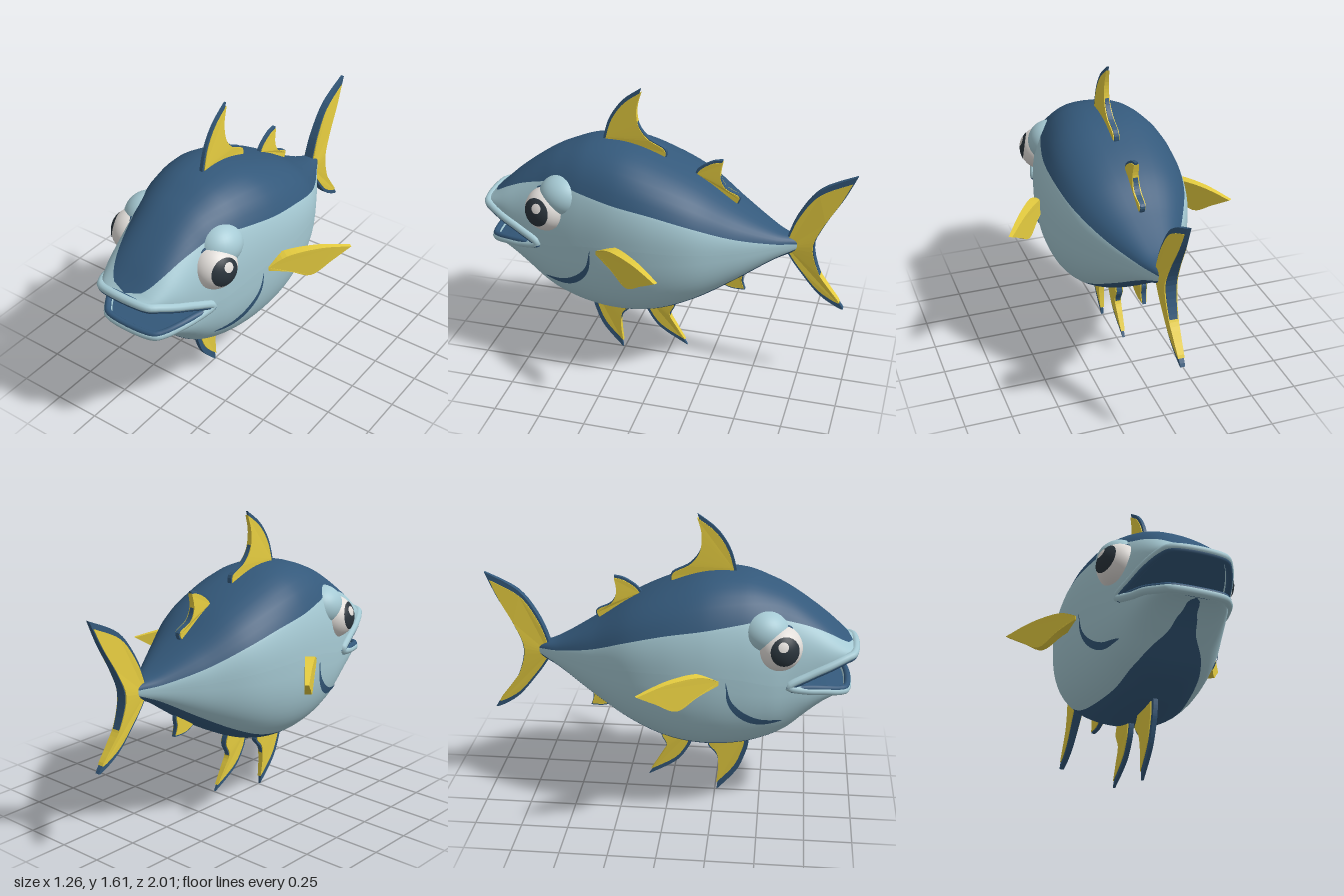
import * as THREE from 'three';

const mat = (name, color, side = THREE.FrontSide) => {
  const m = new THREE.MeshStandardMaterial({ color, side });
  m.name = name;
  return m;
};

// Body stations: z, top, bottom, half width, upper jaw edge, lower jaw edge, back colour line, belly colour line
const STATIONS = [
  [-0.76, 0.842, 0.828, 0.004, 0.835, 0.835, 0.838, 0.832],
  [-0.70, 0.87, 0.79, 0.04, 0.835, 0.835, 0.845, 0.81],
  [-0.6, 0.905, 0.74, 0.10, 0.833, 0.833, 0.86, 0.765],
  [-0.4, 1.02, 0.605, 0.225, 0.84, 0.84, 0.922, 0.645],
  [-0.2, 1.155, 0.48, 0.33, 0.86, 0.86, 1.005, 0.535],
  [0, 1.25, 0.39, 0.375, 0.87, 0.87, 1.065, 0.45],
  [0.2, 1.312, 0.355, 0.378, 0.87, 0.87, 1.10, 0.415],
  [0.4, 1.31, 0.37, 0.35, 0.84, 0.84, 1.13, 0.42],
  [0.55, 1.26, 0.42, 0.315, 0.80, 0.80, 1.145, 0.462],
  [0.64, 1.215, 0.47, 0.285, 0.79, 0.79, 1.12, 0.50],
  [0.75, 1.14, 0.565, 0.252, 0.845, 0.757, 1.082, 0.571],
  [0.85, 1.06, 0.645, 0.22, 0.885, 0.745, 1.032, 0.646],
  [0.93, 0.985, 0.69, 0.178, 0.915, 0.728, 0.978, 0.6902],
  [0.97, 0.95, 0.70, 0.14, 0.925, 0.722, 0.95, 0.70],
];
const N = 2.5; // roundness of the cross-section

// Smooth interpolation of the stations; the jaw edges stay straight
function bodyAt(z) {
  const S = STATIONS, last = S.length - 1;
  let i = 0;
  while (i < last - 1 && z > S[i + 1][0]) i++;
  const h = S[i + 1][0] - S[i][0], u = THREE.MathUtils.clamp((z - S[i][0]) / h, 0, 1);
  const slope = (k, c) => {
    const a = S[Math.max(0, k - 1)], b = S[Math.min(last, k + 1)];
    return (b[c] - a[c]) / (b[0] - a[0]);
  };
  const v = S[i].map((p, c) => {
    const q = S[i + 1][c];
    if (c === 0 || c === 4 || c === 5) return p + (q - p) * u;
    return p * (1 + 2 * u) * (1 - u) ** 2 + q * u * u * (3 - 2 * u)
      + h * (slope(i, c) * u * (1 - u) ** 2 + slope(i + 1, c) * u * u * (u - 1));
  });
  return { top: v[1], bottom: v[2], w: v[3], up: v[4], low: v[5], back: v[6], belly: v[7] };
}

const lowerZ = z => (z > 0.64 ? 0.64 + (z - 0.64) * 0.9 : z);

// Indexed grid from rows of points, with one material group per column range
function grid(rows, ranges = null) {
  const cols = rows[0].length, g = new THREE.BufferGeometry(), index = [];
  g.setAttribute('position', new THREE.Float32BufferAttribute(rows.flat(2), 3));
  for (const [from, to, m] of ranges || [[0, cols - 1, 0]]) {
    const start = index.length;
    for (let i = 0; i < rows.length - 1; i++) for (let j = from; j < to; j++) {
      const a = i * cols + j, b = a + 1, d = a + cols, c = d + 1;
      index.push(a, b, c, a, c, d);
    }
    g.addGroup(start, index.length - start, m);
  }
  g.setIndex(index);
  g.computeVertexNormals();
  return g;
}

// Upper (sign 1) or lower (sign -1) half of the body, jaw included
function bodyHalf(sign) {
  const rows = [], A = 10, B = 14;
  for (let k = 0; k <= 70; k++) {
    const z = -0.76 + 1.73 * k / 70, s = bodyAt(z);
    const mid = sign > 0 ? s.up : s.low;
    const height = Math.abs((sign > 0 ? s.top : s.bottom) - mid);
    const v = THREE.MathUtils.clamp(Math.abs((sign > 0 ? s.back : s.belly) - mid) / height, 0, 1);
    const tb = Math.asin(v ** (N / 2)), row = [];
    const add = t => {
      const c = Math.cos(t), sn = Math.max(0, Math.sin(t));
      row.push([sign * s.w * Math.sign(c) * Math.abs(c) ** (2 / N),
        mid + sign * height * sn ** (2 / N), sign > 0 ? z : lowerZ(z)]);
    };
    for (let j = 0; j < A; j++) add(tb * j / A);
    for (let j = 0; j < B; j++) add(tb + (Math.PI - 2 * tb) * j / B);
    for (let j = 0; j <= A; j++) add(Math.PI - tb + tb * j / A);
    rows.push(row);
  }
  return grid(rows, [[0, A, 0], [A, A + B, 1], [A + B, 2 * A + B, 0]]);
}

// Flat fin outline in (z, y): leading edge up to the tip, then trailing edge back to the root
function finGeometry(lead, trail, thick, root, reach) {
  const V = p => new THREE.Vector2(p[0], p[1]);
  const shape = new THREE.Shape().moveTo(lead[0][0], lead[0][1]);
  shape.splineThru(lead.slice(1).map(V));
  shape.splineThru(trail.map(V));
  shape.closePath();
  const g = new THREE.ExtrudeGeometry(shape, { depth: thick, bevelEnabled: false, curveSegments: 4 });
  g.translate(0, 0, -thick / 2).rotateY(-Math.PI / 2);
  const p = g.attributes.position;
  for (let i = 0; i < p.count; i++) {
    const d = Math.hypot(p.getZ(i) - root[0], p.getY(i) - root[1]) / reach;
    p.setX(i, p.getX(i) * (1 - 0.7 * Math.min(1, d)));
  }
  g.computeVertexNormals();
  return g;
}

export function createModel() {
  const blue = mat('deep blue', 0x34597b, THREE.DoubleSide);
  const light = mat('pale blue', 0xa6cad4);
  const yellow = mat('fin yellow', 0xe6cd40);
  const white = mat('eye white', 0xe2deda);
  const dark = mat('pupil dark', 0x2a343c);
  const model = new THREE.Group();
  model.name = 'fish';
  const add = (name, geometry, material, parent = model) => {
    const m = new THREE.Mesh(geometry, material);
    m.name = name;
    parent.add(m);
    return m;
  };

  // Body with open jaws
  add('upperBody', bodyHalf(1), [light, blue]);
  add('lowerBody', bodyHalf(-1), [light, blue]);

  // Mouth lining
  const roof = [], floor = [];
  for (const z of [0.64, 0.7, 0.75, 0.8, 0.85, 0.89, 0.93, 0.97]) {
    const s = bodyAt(z);
    roof.push([[-s.w, s.up, z], [s.w, s.up, z]]);
    floor.push([[s.w, s.low, lowerZ(z)], [-s.w, s.low, lowerZ(z)]]);
  }
  add('mouthRoof', grid(roof), blue);
  add('mouthFloor', grid(floor), blue);

  // Pale lip loop with a blue rim on its inner edge
  const edge = [0.75, 0.85, 0.93, 0.97], reversed = [...edge].reverse();
  const lipLoop = (inset, radius) => {
    const loop = [];
    const lip = (z, side, upper) => {
      const s = bodyAt(z);
      loop.push(new THREE.Vector3(side * s.w, upper ? s.up - inset : s.low + inset, upper ? z : lowerZ(z)));
    };
    lip(0.64, 1, true);
    edge.forEach(z => lip(z, 1, true));
    reversed.forEach(z => lip(z, -1, true));
    lip(0.64, -1, true);
    edge.forEach(z => lip(z, -1, false));
    reversed.forEach(z => lip(z, 1, false));
    return new THREE.TubeGeometry(new THREE.CatmullRomCurve3(loop, true), 120, radius, 10, true);
  };
  add('lips', lipLoop(0, 0.022), light);
  add('innerLipRim', lipLoop(0.014, 0.017), blue);

  // Eyes, brows and cheek creases
  const cap = (name, dir, radius, angle, material, parent) => {
    const m = add(name, new THREE.SphereGeometry(radius, 28, 10, 0, Math.PI * 2, 0, angle), material, parent);
    m.quaternion.setFromUnitVectors(new THREE.Vector3(0, 1, 0), new THREE.Vector3(...dir).normalize());
  };
  const crease = new THREE.CatmullRomCurve3([[0.32, 0.83], [0.34, 0.72], [0.40, 0.64], [0.49, 0.59], [0.61, 0.585]]
    .map(p => new THREE.Vector3(0, p[1], p[0])));
  for (const side of [1, -1]) {
    const label = side > 0 ? 'left' : 'right';
    const eye = new THREE.Group();
    eye.name = label + 'Eye';
    eye.position.set(side * 0.25, 0.99, 0.585);
    model.add(eye);
    add('eyeball', new THREE.SphereGeometry(0.12, 32, 24), white, eye);
    cap('pupil', [side, 0.16, 0.34], 0.122, 0.68, dark, eye);
    cap('highlight', [side, 0.42, 0.2], 0.124, 0.22, white, eye);
    const rim = add('eyelidRim', new THREE.TorusGeometry(0.119, 0.008, 8, 32, Math.PI), blue, eye);
    rim.rotation.y = side * 1.1;
    const brow = add(label + 'Brow', new THREE.SphereGeometry(1, 32, 24), light);
    brow.scale.set(0.12, 0.115, 0.13);
    brow.position.set(side * 0.222, 1.065, 0.505);

    const rows = [];
    for (let i = 0; i <= 24; i++) {
      const t = i / 24, p = crease.getPoint(t), d = crease.getTangent(t);
      const r = 0.019 * Math.sin(Math.PI * t ** 1.4) ** 0.8 + 0.001;
      rows.push([-1, 0, 1].map(k => {
        const z = p.z - d.y * r * k, y = p.y + d.z * r * k, s = bodyAt(z);
        const v = y < s.low ? (s.low - y) / (s.low - s.bottom) : (y - s.up) / (s.top - s.up);
        return [side * (s.w * (1 - v ** N) ** (1 / N) + 0.006), y, z];
      }));
    }
    add(label + 'CheekCrease', grid(rows), blue);

    // Side fin
    const fin = add(label + 'SideFin', finGeometry(
      [[0.02, 0.0], [-0.09, 0.045], [-0.27, 0.045], [-0.444, 0.01]],
      [[-0.34, -0.05], [-0.22, -0.115], [-0.10, -0.06], [0.02, -0.02]],
      0.065, [0, 0], 0.45), yellow);
    fin.position.set(side * 0.36, 0.84, 0.25);
    fin.rotation.y = -side * 0.625;
  }

  // Centre-line fins: blue blade with a slightly thicker, inset yellow panel
  const fins = [
    { name: 'backFin', root: [0.12, 1.26], s: 0.94, thick: 0.032, reach: 0.4,
      lead: [[0.35, 1.27], [0.345, 1.33], [0.31, 1.44], [0.24, 1.54], [0.14, 1.615]],
      trail: [[0.165, 1.52], [0.155, 1.42], [0.10, 1.345], [0.005, 1.29], [0.01, 1.21]] },
    { name: 'rearBackFin', root: [-0.30, 1.09], s: 0.93, thick: 0.032, reach: 0.3,
      lead: [[-0.15, 1.12], [-0.155, 1.18], [-0.19, 1.22], [-0.25, 1.255], [-0.30, 1.265]],
      trail: [[-0.288, 1.18], [-0.32, 1.11], [-0.40, 1.065], [-0.37, 1.0]] },
    { name: 'frontBellyFin', root: [0.25, 0.36], s: 0.87, thick: 0.036, reach: 0.4,
      lead: [[0.44, 0.42], [0.435, 0.33], [0.42, 0.26], [0.37, 0.14], [0.26, 0.01]],
      trail: [[0.272, 0.14], [0.26, 0.23], [0.21, 0.295], [0.25, 0.34], [0.25, 0.42]] },
    { name: 'middleBellyFin', root: [-0.01, 0.37], s: 0.88, thick: 0.034, reach: 0.35,
      lead: [[0.13, 0.42], [0.125, 0.34], [0.10, 0.27], [0.03, 0.18], [-0.12, 0.09]],
      trail: [[-0.06, 0.19], [-0.02, 0.27], [-0.05, 0.35], [-0.02, 0.43]] },
    { name: 'rearBellyFin', root: [-0.37, 0.61], s: 0.92, thick: 0.03, reach: 0.25,
      lead: [[-0.26, 0.58], [-0.31, 0.53], [-0.37, 0.508], [-0.44, 0.508]],
      trail: [[-0.425, 0.56], [-0.43, 0.62], [-0.38, 0.66]] },
    { name: 'tailFin', root: [-0.755, 0.84], s: 0.9, thick: 0.06, reach: 0.5,
      lead: [[-0.65, 0.82], [-0.66, 0.88], [-0.715, 1.02], [-0.82, 1.165], [-1.0, 1.26]],
      trail: [[-0.94, 1.13], [-0.85, 0.97], [-0.80, 0.83], [-0.84, 0.67], [-0.905, 0.57], [-0.975, 0.47],
        [-0.85, 0.54], [-0.74, 0.67], [-0.67, 0.77], [-0.65, 0.82]] },
  ];
  for (const f of fins) {
    const group = new THREE.Group();
    group.name = f.name;
    model.add(group);
    const inset = pts => pts.map(p => p.map((v, i) => f.root[i] + (v - f.root[i]) * f.s));
    add('blade', finGeometry(f.lead, f.trail, f.thick, f.root, f.reach), blue, group);
    add('panel', finGeometry(inset(f.lead), inset(f.trail), f.thick + 0.012, f.root, f.reach), yellow, group);
  }
  return model;
}
